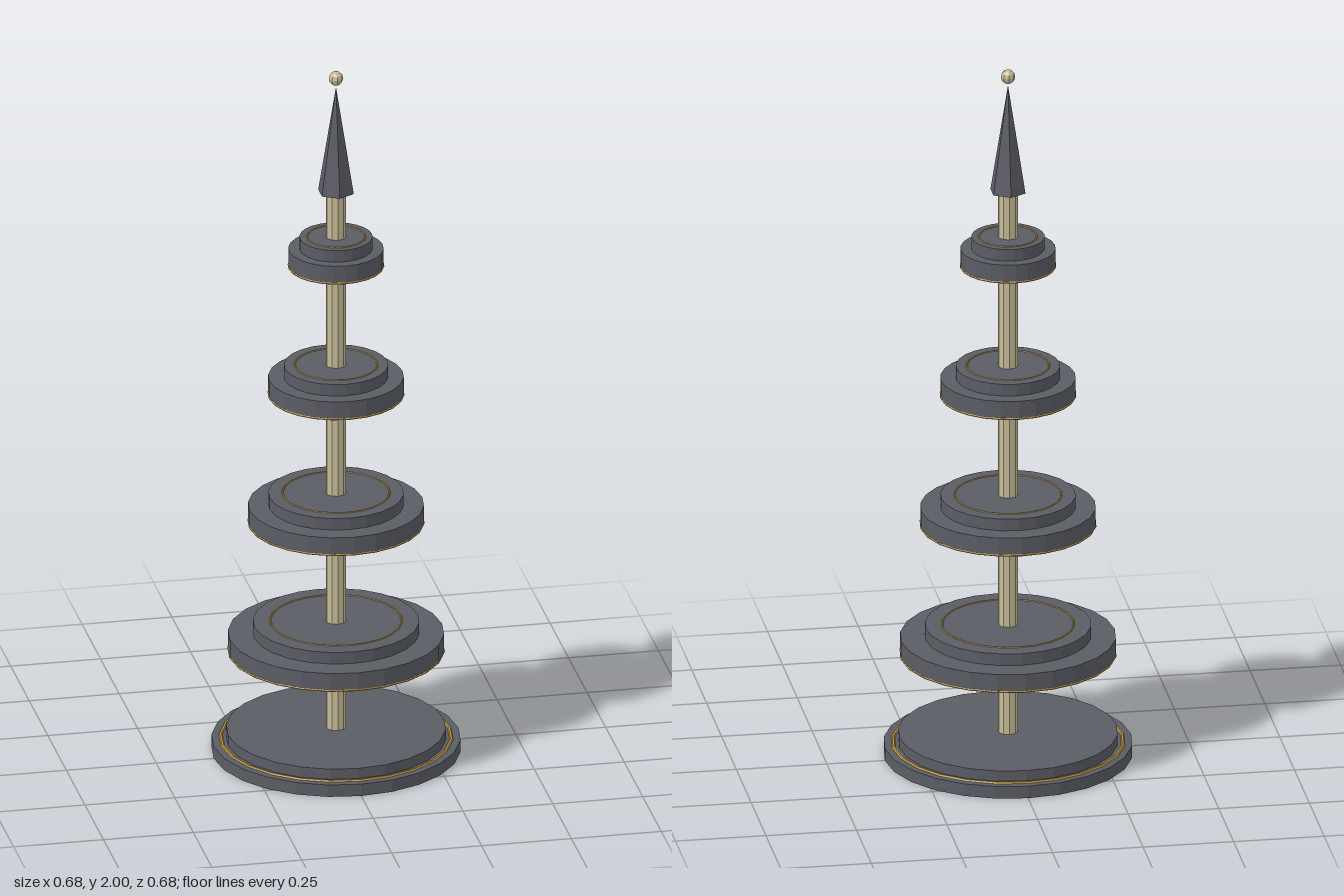
import * as THREE from 'three';

const mat = (name, color) => {
  const m = new THREE.MeshStandardMaterial({ color, flatShading: true });
  m.name = name;
  return m;
};

export function createModel() {
  const group = new THREE.Group();
  const slate = mat('slate', 0x5b5d65);
  const stone = mat('pale stone', 0xc8bc98);
  const gold = mat('gold', 0xc09a3c);

  const add = (name, geometry, material, y, parent = group) => {
    const mesh = new THREE.Mesh(geometry, material);
    mesh.name = name;
    mesh.position.y = y;
    parent.add(mesh);
    return mesh;
  };
  // Disc spanning y0 to y1
  const disc = (name, r, y0, y1, parent) =>
    add(name, new THREE.CylinderGeometry(r, r, y1 - y0, 24), slate, (y0 + y1) / 2, parent);
  // Thin horizontal gold band
  const ring = (name, r, tube, y, parent) =>
    add(name, new THREE.TorusGeometry(r, tube, 6, 24).rotateX(Math.PI / 2), gold, y, parent);

  // Stepped base
  disc('baseLower', 0.34, 0, 0.035);
  disc('baseUpper', 0.3, 0.035, 0.065);
  ring('baseTrim', 0.315, 0.005, 0.035);

  // Central pole
  add('pole', new THREE.CylinderGeometry(0.028, 0.028, 1.6, 10), stone, 0.85);

  // Four shrinking stepped tiers
  for (let i = 0; i < 4; i++) {
    const tier = new THREE.Group();
    tier.name = `tier${i + 1}`;
    tier.position.y = 0.293 + i * 0.378;
    group.add(tier);
    const r = 0.295 - i * 0.055;
    disc('tierLower', r, 0, 0.052, tier);
    disc('tierUpper', r * 0.77, 0.052, 0.086, tier);
    ring('tierTrim', r - 0.001, 0.003, 0.001, tier);
    ring('tierTopTrim', r * 0.61, 0.0025, 0.086, tier);
  }

  // Six-sided spire and finial ball
  add('spire', new THREE.ConeGeometry(0.051, 0.31, 6), slate, 1.8);
  add('finial', new THREE.SphereGeometry(0.02, 8, 6), stone, 1.98);

  return group;
}
